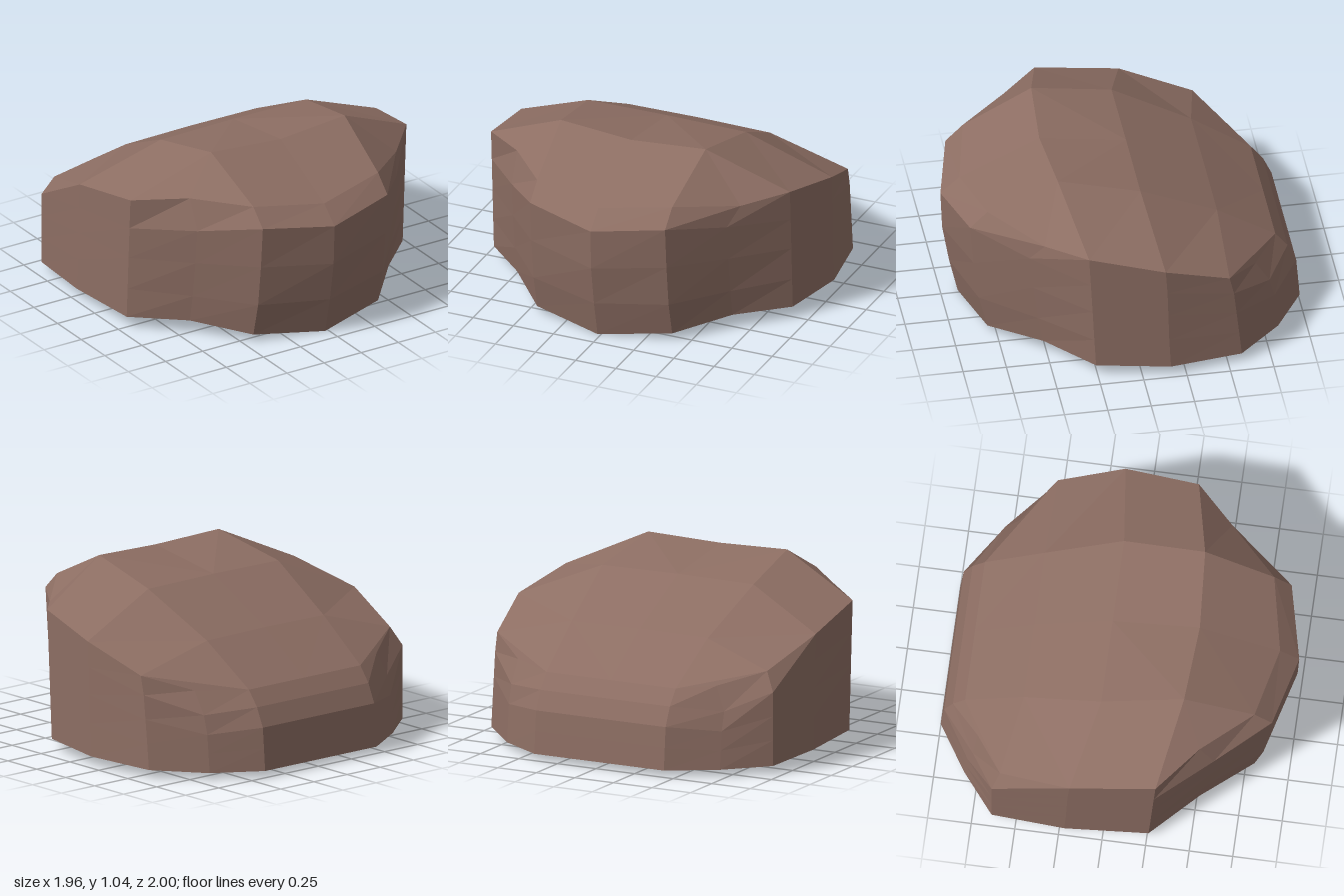
import * as THREE from 'three';

// Upright columns round one half of the boulder, front to back.
// Each has an x and five [y, z] levels: base, low, middle, rim, shoulder.
const COLUMNS = [
  { x: -0.02, p: [[0, 0.9], [0.22, 0.95], [0.46, 0.99], [0.7, 1], [0.8, 0.89]] },
  { x: 0.4, p: [[0.045, 0.8], [0.25, 0.85], [0.5, 0.88], [0.75, 0.9], [0.85, 0.8]] },
  { x: 0.65, p: [[0.085, 0.52], [0.25, 0.55], [0.47, 0.58], [0.68, 0.6], [0.79, 0.52]] },
  { x: 0.91, p: [[0.07, 0.26], [0.25, 0.27], [0.45, 0.28], [0.64, 0.29], [0.82, 0.3]] },
  { x: 0.98, p: [[0.06, -0.16], [0.25, -0.15], [0.42, -0.145], [0.58, -0.14], [0.73, -0.13]] },
  { x: 0.91, p: [[0.05, -0.58], [0.2, -0.565], [0.34, -0.55], [0.48, -0.535], [0.59, -0.51]] },
  { x: 0.67, p: [[0.04, -0.83], [0.15, -0.82], [0.26, -0.81], [0.37, -0.78], [0.5, -0.7]] },
  { x: 0.4, p: [[0.04, -1], [0.17, -0.99], [0.29, -0.98], [0.4, -0.93], [0.49, -0.86]] },
  { x: -0.02, p: [[0.04, -1], [0.17, -0.99], [0.29, -0.98], [0.4, -0.93], [0.49, -0.86]] },
];
const SHOULDER = 4;

// Inner points of the top: ridge, crown and back slope, as [side, centre]
const TOP_ROWS = [
  [[0.43, 1.04, 0.4], [-0.02, 1.02, 0.43]],
  [[0.47, 0.94, -0.07], [-0.02, 0.945, -0.07]],
  [[0.42, 0.715, -0.52], [-0.02, 0.72, -0.52]],
];

const mirror = ([x, y, z]) => [-0.04 - x, y, z];

function buildRock() {
  const positions = [];
  const quad = (a, b, c, d) => positions.push(...a, ...b, ...c, ...a, ...c, ...d);

  const half = COLUMNS.map(({ x, p }) => p.map(([y, z]) => [x, y, z]));
  const other = half.map((column) => column.map(mirror));

  // Small irregularities that differ between the two sides
  half[2][SHOULDER][0] = 0.7;
  other[2][SHOULDER] = [-0.69, 0.855, 0.52];
  other[4].forEach((v) => { v[0] = -0.98; v[2] -= 0.06; });
  other[5].forEach((v) => { v[2] = -0.64; });
  other[5][SHOULDER] = [-0.89, 0.59, -0.6];
  other[6][SHOULDER] = [-0.65, 0.51, -0.76];

  // Walls
  const ring = [...half, ...other.slice(1, 8).reverse()];
  const count = ring.length;
  for (let i = 0; i < count; i++) {
    const a = ring[i], b = ring[(i + 1) % count];
    for (let k = 0; k < SHOULDER; k++) quad(a[k], b[k], b[k + 1], a[k + 1]);
    // Underside fan
    positions.push(-0.02, 0.055, -0.05, ...b[0], ...a[0]);
  }

  // Top, as a grid of five rows from front to back
  const top = (column) => column[SHOULDER];
  const grid = [
    [other[2], other[1], half[0], half[1], half[2]].map(top),
    ...TOP_ROWS.map(([side, centre], r) =>
      [top(other[r + 3]), mirror(side), centre, side, top(half[r + 3])]),
    [other[6], other[7], half[8], half[7], half[6]].map(top),
  ];
  for (let r = 0; r < 4; r++) {
    for (let c = 0; c < 4; c++) {
      const a = grid[r][c], b = grid[r][c + 1];
      const d = grid[r + 1][c], e = grid[r + 1][c + 1];
      // Mirror the diagonals on the two halves
      if (c < 2) quad(a, b, e, d);
      else quad(b, e, d, a);
    }
  }

  // Unshared corners give flat facets
  const geometry = new THREE.BufferGeometry();
  geometry.setAttribute('position', new THREE.Float32BufferAttribute(positions, 3));
  geometry.computeVertexNormals();
  return geometry;
}

export function createModel() {
  const group = new THREE.Group();
  group.name = 'rock';
  const stone = new THREE.MeshStandardMaterial({ color: 0x8d6e63 });
  stone.name = 'brown stone';
  const boulder = new THREE.Mesh(buildRock(), stone);
  boulder.name = 'boulder';
  group.add(boulder);
  return group;
}
